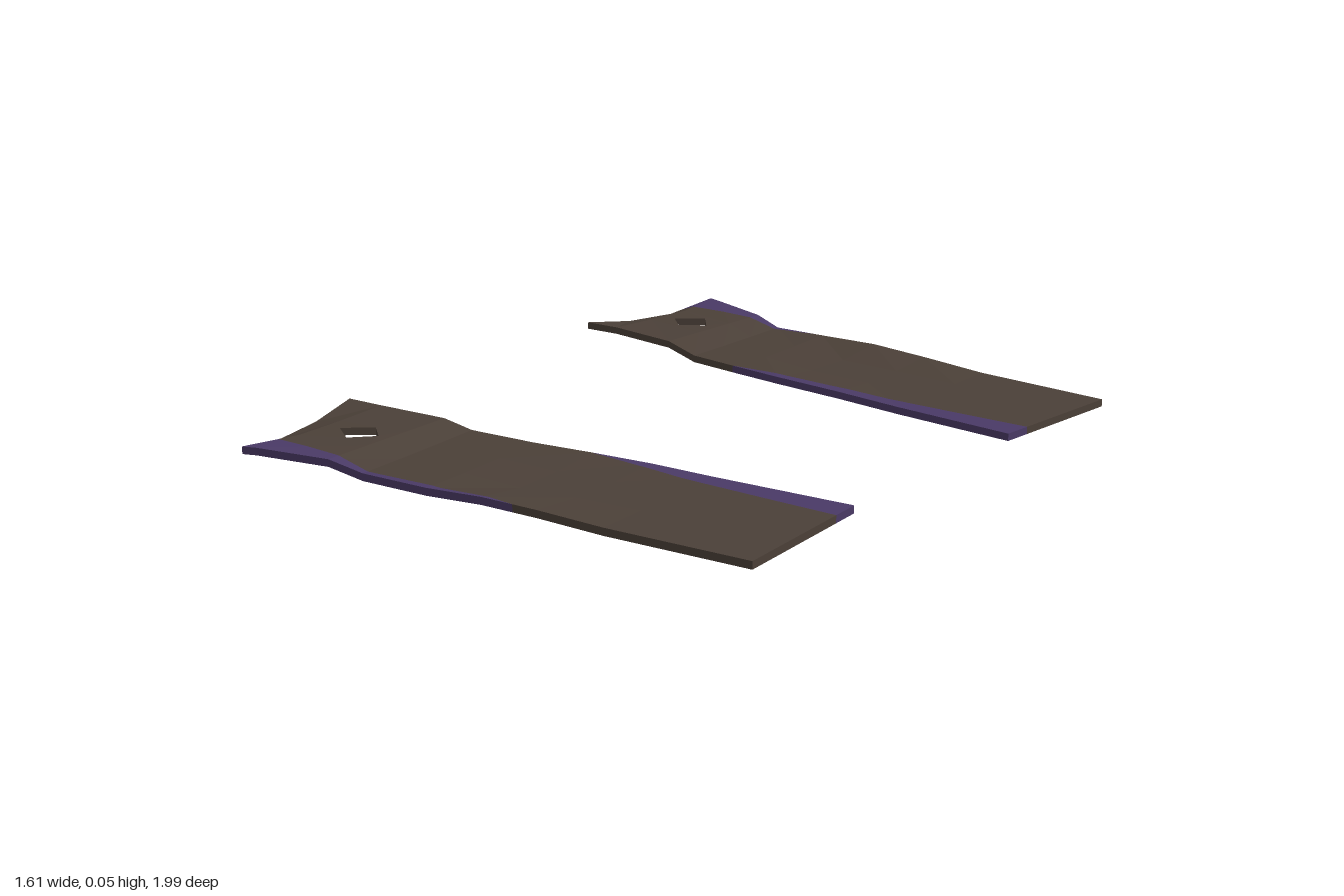
import * as THREE from 'three';

const THICK = 0.02;
const BANDS = [[0, 0.45, 'trim'], [0.45, 0.886, 'cloth'], [0.886, 2, 'trim']];

// underside heights of each cross-section, from outer edge to inner edge
const HEIGHTS = [
  [0.03, 0.004, 0.006, 0.027],
  [0.031, 0.026, 0.026, 0.029],
  [0.026, 0.026, 0.026, 0.026],
  [0.004, 0.003, 0.003, 0.004],
  [0.012, 0.008, 0.006, 0.008],
  [0.021, 0.002, 0.002, 0.012],
  [0.013, 0.002, 0.001, 0.008],
  [0.001, 0, 0, 0.001],
  [0, 0, 0, 0],
];

// outlines as [x, z] pairs; hole corners run outer, right, inner, left
const STRIPS = [
  {
    name: 'backStrip', side: -1,
    outer: [[-0.69, -1], [-0.65, -0.986], [-0.45, -0.926], [-0.36, -0.905], [-0.18, -0.882], [0.02, -0.86], [0.2, -0.85], [0.4, -0.84], [0.8, -0.805]],
    inner: [[-0.805, -0.53], [-0.69, -0.528], [-0.47, -0.503], [-0.36, -0.483], [-0.18, -0.447], [-0.01, -0.415], [0.2, -0.405], [0.4, -0.397], [0.76, -0.365]],
    hole: [[-0.55, -0.785], [-0.495, -0.72], [-0.565, -0.672], [-0.625, -0.73]],
  },
  {
    name: 'frontStrip', side: 1,
    outer: [[-0.66, 0.99], [-0.62, 0.978], [-0.42, 0.924], [-0.32, 0.905], [-0.1, 0.91], [0.07, 0.9], [0.22, 0.875], [0.4, 0.85], [0.8, 0.82]],
    inner: [[-0.77, 0.51], [-0.65, 0.51], [-0.44, 0.488], [-0.36, 0.47], [-0.15, 0.465], [0.03, 0.45], [0.2, 0.42], [0.37, 0.395], [0.765, 0.365]],
    hole: [[-0.515, 0.77], [-0.46, 0.71], [-0.52, 0.66], [-0.59, 0.72]],
  },
];

// keep the part of a polygon where sign * (|z| - limit) >= 0
function clip(poly, limit, sign) {
  const out = [];
  poly.forEach((a, i) => {
    const b = poly[(i + 1) % poly.length];
    const da = sign * (Math.abs(a.z) - limit), db = sign * (Math.abs(b.z) - limit);
    if (da >= 0) out.push(a);
    if (da * db < 0) out.push(a.clone().lerp(b, da / (da - db)));
  });
  return out;
}

function buildStrip({ name, side, outer, inner, hole }, materials) {
  const data = { cloth: [], trim: [] };

  // add a polygon facing the given direction, split into colour bands
  function face(points, dir) {
    for (const [lo, hi, key] of BANDS) {
      const p = clip(clip(points, lo, 1), hi, -1);
      for (let i = 1; i + 1 < p.length; i++) {
        const n = p[i].clone().sub(p[0]).cross(p[i + 1].clone().sub(p[0]));
        const tri = n.dot(dir) < 0 ? [p[0], p[i + 1], p[i]] : [p[0], p[i], p[i + 1]];
        tri.forEach((v) => data[key].push(v.x, v.y, v.z));
      }
    }
  }
  const up = new THREE.Vector3(0, 1, 0), down = new THREE.Vector3(0, -1, 0);
  const raise = (v) => v.clone().setY(v.y + THICK);
  const sheet = (a, b, c) => {
    face([a, b, c], down);
    face([a, b, c].map(raise), up);
  };
  const wall = (a, b, dir) => face([a, b, raise(b), raise(a)], dir);

  // grid of underside points
  const grid = outer.map(([ox, oz], i) => HEIGHTS[i].map((y, j) => new THREE.Vector3(
    THREE.MathUtils.lerp(ox, inner[i][0], j / 3), y,
    THREE.MathUtils.lerp(oz, inner[i][1], j / 3))));

  const last = grid.length - 1;
  for (let i = 0; i < last; i++) {
    for (let j = 0; j < 3; j++) {
      const c = [grid[i][j], grid[i + 1][j], grid[i + 1][j + 1], grid[i][j + 1]];
      if (i === 1 && j === 1) {
        // cell with the diamond cut-out
        const d = hole.map(([x, z]) => new THREE.Vector3(x, 0.027, z));
        const centre = d.reduce((s, v) => s.add(v), new THREE.Vector3()).divideScalar(4);
        for (let k = 0; k < 4; k++) {
          const n = (k + 1) % 4;
          sheet(c[k], c[n], d[k]);
          sheet(c[n], d[n], d[k]);
          wall(d[k], d[n], centre.clone().sub(d[k].clone().lerp(d[n], 0.5)));
        }
      } else {
        sheet(c[0], c[1], c[2]);
        sheet(c[0], c[2], c[3]);
      }
    }
    // long edges
    wall(grid[i][0], grid[i + 1][0], new THREE.Vector3(0, 0, side));
    wall(grid[i][3], grid[i + 1][3], new THREE.Vector3(0, 0, -side));
  }
  // short ends
  for (let j = 0; j < 3; j++) {
    wall(grid[0][j], grid[0][j + 1], new THREE.Vector3(-1, 0, 0));
    wall(grid[last][j], grid[last][j + 1], new THREE.Vector3(1, 0, 0));
  }

  const strip = new THREE.Group();
  strip.name = name;
  for (const key of ['cloth', 'trim']) {
    const geo = new THREE.BufferGeometry();
    geo.setAttribute('position', new THREE.Float32BufferAttribute(data[key], 3));
    geo.computeVertexNormals();
    const mesh = new THREE.Mesh(geo, materials[key]);
    mesh.name = key;
    strip.add(mesh);
  }
  return strip;
}

export function createModel() {
  const cloth = new THREE.MeshStandardMaterial({ color: 0x4b4038 });
  cloth.name = 'brown cloth';
  const trim = new THREE.MeshStandardMaterial({ color: 0x4a3a66 });
  trim.name = 'purple trim';

  const model = new THREE.Group();
  model.name = 'clothStrips';
  STRIPS.forEach((s) => model.add(buildStrip(s, { cloth, trim })));
  return model;
}
